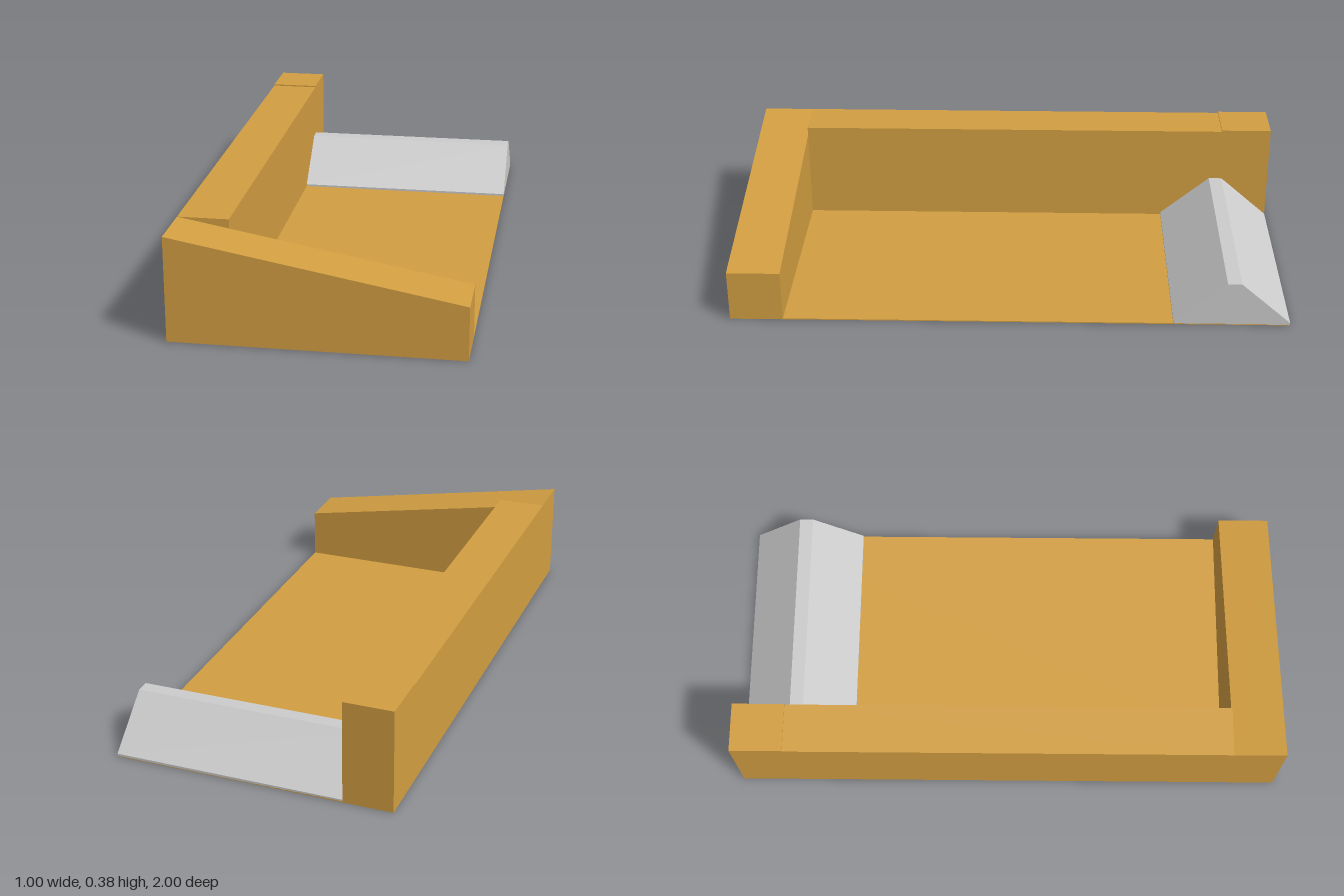
import * as THREE from 'three';

const wood = new THREE.MeshStandardMaterial({ color: 0xd29e41, flatShading: true });
const grey = new THREE.MeshStandardMaterial({ color: 0xcccccc, flatShading: true });

// Box given by its minimum and maximum corners
function block(name, [x0, y0, z0], [x1, y1, z1]) {
  const geo = new THREE.BoxGeometry(x1 - x0, y1 - y0, z1 - z0);
  geo.translate((x0 + x1) / 2, (y0 + y1) / 2, (z0 + z1) / 2);
  const mesh = new THREE.Mesh(geo, wood);
  mesh.name = name;
  return mesh;
}

// Straight extrusion of a polygon, running along +z
function prism(name, points, depth, material) {
  const shape = new THREE.Shape(points.map(([x, y]) => new THREE.Vector2(x, y)));
  const geo = new THREE.ExtrudeGeometry(shape, { depth, bevelEnabled: false });
  const mesh = new THREE.Mesh(geo, material);
  mesh.name = name;
  return mesh;
}

export function createModel() {
  const group = new THREE.Group();
  const inner = -0.323; // inner face of the side wall

  // Thin floor, tall side wall and its slightly higher back post
  group.add(block('floor', [inner, 0, -1], [0.5, 0.004, 0.81]));
  group.add(block('sideWall', [-0.5, 0, -0.81], [inner, 0.37, 0.81]));
  group.add(block('backPost', [-0.5, 0, -1], [inner, 0.375, -0.81]));

  // Front wall sloping down towards the open side
  const front = prism('frontWall', [[-0.5, 0], [0.5, 0], [0.5, 0.188], [-0.5, 0.37]], 0.19, wood);
  front.position.z = 0.81;
  group.add(front);

  // Flat-topped ridge across the back; its profile lies in z and y
  const profile = [[0.585, 0.002], [1, 0.002], [1, 0.01], [0.82, 0.167], [0.77, 0.167], [0.585, 0.012]];
  const ridge = prism('backRidge', profile, 0.5 - inner, grey);
  ridge.rotation.y = Math.PI / 2; // profile x becomes -z, depth becomes +x
  ridge.position.x = inner;
  group.add(ridge);

  return group;
}
